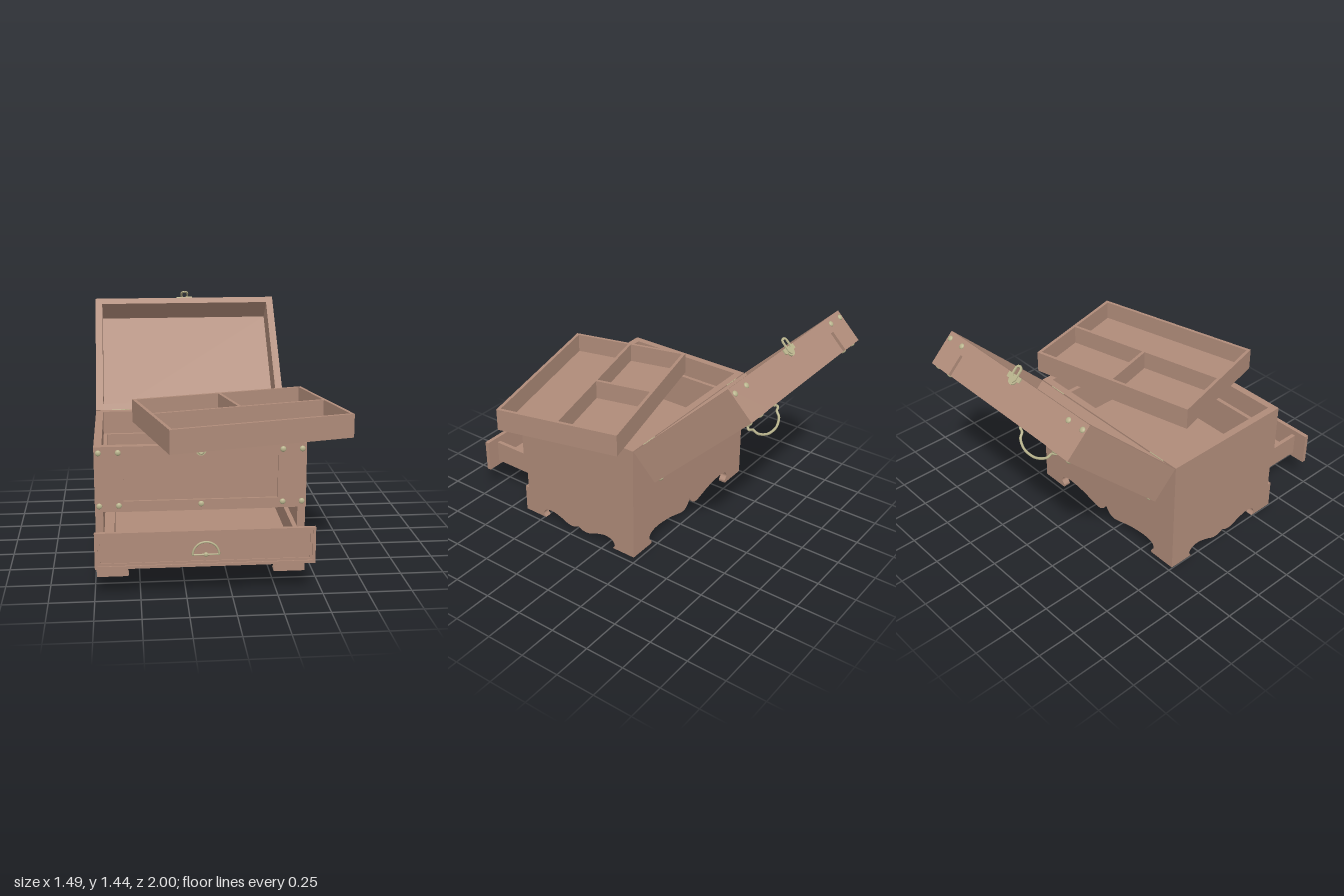
import * as THREE from 'three';

const T = 0.045; // wall thickness

export function createModel() {
  const wood = new THREE.MeshStandardMaterial({ color: 0xaf8b79 });
  wood.name = 'wood';
  const brass = new THREE.MeshStandardMaterial({ color: 0xb8b38c });
  brass.name = 'brass';

  const group = (parent, name, x = 0, y = 0, z = 0) => {
    const g = new THREE.Group();
    g.name = name;
    g.position.set(x, y, z);
    parent.add(g);
    return g;
  };
  const add = (parent, name, geo, mat, x = 0, y = 0, z = 0) => {
    const m = new THREE.Mesh(geo, mat);
    m.name = name;
    m.position.set(x, y, z);
    parent.add(m);
    return m;
  };
  // box given by its min and max corners
  const box = (parent, name, [x0, y0, z0], [x1, y1, z1], mat = wood) =>
    add(parent, name, new THREE.BoxGeometry(x1 - x0, y1 - y0, z1 - z0), mat,
      (x0 + x1) / 2, (y0 + y1) / 2, (z0 + z1) / 2);
  const poly = (pts) => new THREE.Shape(pts.map(([x, y]) => new THREE.Vector2(x, y)));
  const rect = (x0, y0, x1, y1) => poly([[x0, y0], [x1, y0], [x1, y1], [x0, y1]]);
  const extrude = (shape, depth, hole) => {
    if (hole) shape.holes.push(hole);
    return new THREE.ExtrudeGeometry(shape, { depth, bevelEnabled: false, curveSegments: 16 });
  };
  const dome = new THREE.SphereGeometry(0.017, 14, 6, 0, Math.PI * 2, 0, Math.PI / 2);
  dome.scale(1, 0.6, 1);
  const stud = (parent, x, y, z, faceFront) => {
    const s = add(parent, 'stud', dome, brass, x, y, z);
    if (faceFront) s.rotation.x = Math.PI / 2;
  };
  const studX = [-0.575, -0.465, 0.465, 0.575];

  // panel with a scalloped lower edge; cut = half profile [distance from centre, y]
  const scalloped = (half, cut, upper) => {
    const s = new THREE.Shape();
    s.moveTo(-half, 0);
    s.lineTo(-cut[0][0], 0);
    s.splineThru(cut.slice(1).map(([d, y]) => new THREE.Vector2(-d, y)));
    s.splineThru(cut.slice(0, -1).reverse().map(([d, y]) => new THREE.Vector2(d, y)));
    s.lineTo(half, 0);
    upper.forEach(([x, y]) => s.lineTo(x, y));
    return extrude(s, T);
  };
  const frontCut = [[0.42, 0], [0.418, 0.018], [0.438, 0.05], [0.415, 0.085], [0.34, 0.097],
    [0.22, 0.083], [0.12, 0.056], [0.07, 0.048], [0.03, 0.065], [0, 0.105]];
  const sideCut = [[0.275, 0], [0.29, 0.03], [0.265, 0.062], [0.21, 0.07], [0.14, 0.052],
    [0.08, 0.028], [0.03, 0.03], [0, 0.046]];

  const model = new THREE.Group();
  model.name = 'jewelleryChest';
  const chest = group(model, 'chest', -0.145);

  // ---- Case: sides, back, apron, front panel ----
  const zb = -0.22, zf = 0.655, zc = (zb + zf) / 2, hz = (zf - zb) / 2, top = 0.77;
  const sideGeo = scalloped(hz, sideCut, [[hz, 0.178], [hz - 0.025, 0.178],
    [hz - 0.025, 0.39], [hz, 0.39], [hz, top], [-hz, top]]);
  sideGeo.rotateY(-Math.PI / 2);
  add(chest, 'leftSide', sideGeo, wood, 0.6, 0, zc);
  add(chest, 'rightSide', sideGeo, wood, -0.6 + T, 0, zc);
  const w = 0.6 - T;
  add(chest, 'back', scalloped(w, frontCut, [[w, top], [-w, top]]), wood, 0, 0, zb);
  add(chest, 'frontApron', scalloped(w, frontCut, [[w, 0.178], [-w, 0.178]]), wood, 0, 0, zf - T);
  box(chest, 'frontPanel', [-w, 0.39, zf - T], [w, top, zf - 0.015]);
  add(chest, 'frontPanelFrame', extrude(rect(-w, 0.39, w, top), 0.015,
    rect(-0.4375, 0.45, 0.4375, 0.7)), wood, 0, 0, zf - 0.015);
  box(chest, 'bottom', [-w, 0.12, zb + T], [w, 0.175, zf - T]);
  box(chest, 'compartmentFloor', [-w, 0.375, zb + T], [w, 0.4, zf - T]);

  // ledge that carries the tray
  const ledge = extrude(rect(-w, zb + T, w, zf - T), 0.23,
    rect(-w + 0.025, zb + T + 0.025, w - 0.025, zf - T - 0.025));
  ledge.rotateX(Math.PI / 2);
  add(chest, 'trayLedge', ledge, wood, 0, 0.63);

  for (const x of studX) for (const y of [0.425, 0.735]) stud(chest, x, y, zf, true);
  stud(chest, 0, 0.425, zf, true);

  // clasp plate: straight top edge with a stepped round bottom
  const plate = new THREE.Shape();
  plate.moveTo(0.052, 0);
  plate.lineTo(-0.052, 0);
  plate.lineTo(-0.052, -0.03);
  plate.lineTo(-0.035, -0.035);
  plate.absarc(0, -0.03, 0.03, Math.PI, Math.PI * 2, false);
  plate.lineTo(0.052, -0.03);
  const plateGeo = extrude(plate, 0.008);
  add(chest, 'claspPlate', plateGeo, brass, 0, top, zf);
  const staple = add(chest, 'claspStaple', new THREE.TorusGeometry(0.015, 0.005, 8, 16), brass, 0, 0.742, zf + 0.012);
  staple.scale.y = 1.3;

  // ---- Drawer, pulled out ----
  const drawer = group(chest, 'drawer');
  const d0 = 0.18, d1 = 0.385, dw = 0.515;
  box(drawer, 'drawerFront', [-0.6, d0, 0.968], [0.6, d1, 0.98]);
  add(drawer, 'drawerOuterFrame', extrude(rect(-0.6, d0, 0.6, d1), 0.014,
    rect(-0.584, d0 + 0.016, 0.584, d1 - 0.016)), wood, 0, 0, 0.98);
  add(drawer, 'drawerInnerFrame', extrude(rect(-0.584, d0 + 0.016, 0.584, d1 - 0.016), 0.006,
    rect(-0.57, d0 + 0.03, 0.57, d1 - 0.03)), wood, 0, 0, 0.98);
  for (const s of [-1, 1]) {
    const a = s * dw, b = s * (dw - 0.025);
    box(drawer, 'drawerSide', [Math.min(a, b), 0.21, 0.17], [Math.max(a, b), 0.35, 0.968]);
  }
  box(drawer, 'drawerBack', [-dw + 0.025, 0.21, 0.17], [dw - 0.025, 0.35, 0.195]);
  box(drawer, 'drawerBottom', [-dw + 0.025, 0.21, 0.195], [dw - 0.025, 0.23, 0.968]);
  const pull = group(drawer, 'drawerPull', 0, 0.248, 0.992);
  add(pull, 'pullArch', new THREE.TorusGeometry(0.072, 0.006, 8, 24, Math.PI), brass);
  const bar = add(pull, 'pullBar', new THREE.CylinderGeometry(0.005, 0.005, 0.15, 8), brass);
  bar.rotation.z = Math.PI / 2;
  add(pull, 'pullKnob', new THREE.SphereGeometry(0.013, 14, 10), brass).scale.z = 0.6;

  // ---- Lid, modelled closed with its hinge edge at the origin, then swung open ----
  const lid = group(chest, 'lid', 0, top, -0.226);
  lid.rotation.x = -Math.PI * 0.75;
  const L = 0.88, H = 0.215, R = 0.02, px = 0.4375;
  box(lid, 'lidBack', [-w, 0, 0], [w, H - R, T]);
  box(lid, 'lidLeft', [w, 0, 0], [0.6, H - R, L - R]);
  box(lid, 'lidRight', [-0.6, 0, 0], [-w, H - R, L - R]);
  box(lid, 'lidFront', [-w, 0, L - T], [w, H - R, L - R]);
  box(lid, 'lidPanel', [-w, 0.165, T], [w, H - R, L - T]);
  add(lid, 'lidFrontFrame', extrude(poly([[-0.6, 0], [0.6, 0], [0.6, H - R], [px, H - R],
    [px, 0.085], [-px, 0.085], [-px, H - R], [-0.6, H - R]]), R), wood, 0, 0, L - R);
  const topFrame = extrude(poly([[-0.6, 0], [0.6, 0], [0.6, L], [px, L], [px, L - R],
    [-px, L - R], [-px, L], [-0.6, L]]), R, rect(-px, 0.06, px, L - 0.06));
  topFrame.rotateX(Math.PI / 2);
  add(lid, 'lidTopFrame', topFrame, wood, 0, H, 0);

  for (const x of studX) {
    stud(lid, x, 0.04, L, true);
    for (const z of [0.038, L - 0.038]) stud(lid, x, H, z, false);
  }

  // hasp: plate on the lid with a slotted tongue past the rim
  add(lid, 'haspPlate', plateGeo, brass, 0, 0, L).rotation.z = Math.PI;
  const slot = (r, y0, y1) => {
    const s = new THREE.Shape();
    s.absarc(0, y1, r, 0, Math.PI, false);
    s.absarc(0, y0, r, Math.PI, Math.PI * 2, false);
    s.closePath();
    return s;
  };
  add(lid, 'haspTongue', extrude(slot(0.026, -0.03, 0.02), 0.007, slot(0.014, -0.03, -0.002)), brass, 0, 0, L + 0.008);

  // carrying handle on top of the lid
  const handle = group(lid, 'carryHandle', 0, H - R, L / 2);
  const bail = new THREE.CatmullRomCurve3([[-0.15, 0.05], [-0.165, 0.075], [-0.135, 0.09], [-0.12, 0.125],
    [-0.06, 0.16], [0, 0.168], [0.06, 0.16], [0.12, 0.125], [0.135, 0.09], [0.165, 0.075], [0.15, 0.05]]
    .map(([x, y]) => new THREE.Vector3(x, y, 0)));
  add(handle, 'handleBail', new THREE.TubeGeometry(bail, 48, 0.008, 8), brass);
  for (const x of [-0.15, 0.15]) {
    add(handle, 'handleBase', new THREE.CylinderGeometry(0.018, 0.024, 0.012, 16), brass, x, 0.006);
    add(handle, 'handlePost', new THREE.CylinderGeometry(0.008, 0.008, 0.05, 10), brass, x, 0.03);
    add(handle, 'handleEye', new THREE.SphereGeometry(0.014, 12, 8), brass, x, 0.052);
  }

  // ---- Hinges: tapered leaf on the case, leaf on the lid, knuckle between ----
  const leaf = extrude(poly([[-0.055, 0], [-0.055, -0.035], [-0.035, -0.045], [-0.028, -0.105],
    [0.028, -0.105], [0.035, -0.045], [0.055, -0.035], [0.055, 0]].reverse()), 0.006);
  for (const x of [-0.445, 0.445]) {
    add(chest, 'hingeCaseLeaf', leaf, brass, x, top, zb - 0.006);
    box(lid, 'hingeLidLeaf', [x - 0.055, 0, -0.006], [x + 0.055, 0.065, 0], brass);
    const k = add(chest, 'hingeKnuckle', new THREE.CylinderGeometry(0.008, 0.008, 0.11, 10), brass, x, top - 0.006, zb - 0.007);
    k.rotation.z = Math.PI / 2;
  }

  // ---- Loose tray resting askew on the case ----
  const tray = group(model, 'tray', 0.11, top, 0.333);
  tray.rotation.y = 0.247;
  const tx = 0.552, tz = 0.389, th = 0.14, tt = 0.02;
  box(tray, 'trayBottom', [-tx, 0, -tz], [tx, 0.02, tz]);
  for (const s of [-1, 1]) {
    add(tray, 'trayLongWall', new THREE.BoxGeometry(2 * tx, th - 0.02, tt), wood, 0, th / 2 + 0.01, s * (tz - tt / 2));
    add(tray, 'trayShortWall', new THREE.BoxGeometry(tt, th - 0.02, 2 * (tz - tt)), wood, s * (tx - tt / 2), th / 2 + 0.01, 0);
  }
  box(tray, 'trayLongDivider', [-tx + tt, 0.02, -tt / 2], [tx - tt, th, tt / 2]);
  box(tray, 'trayShortDivider', [-tt / 2, 0.02, -tz + tt], [tt / 2, th, -tt / 2]);

  return model;
}
